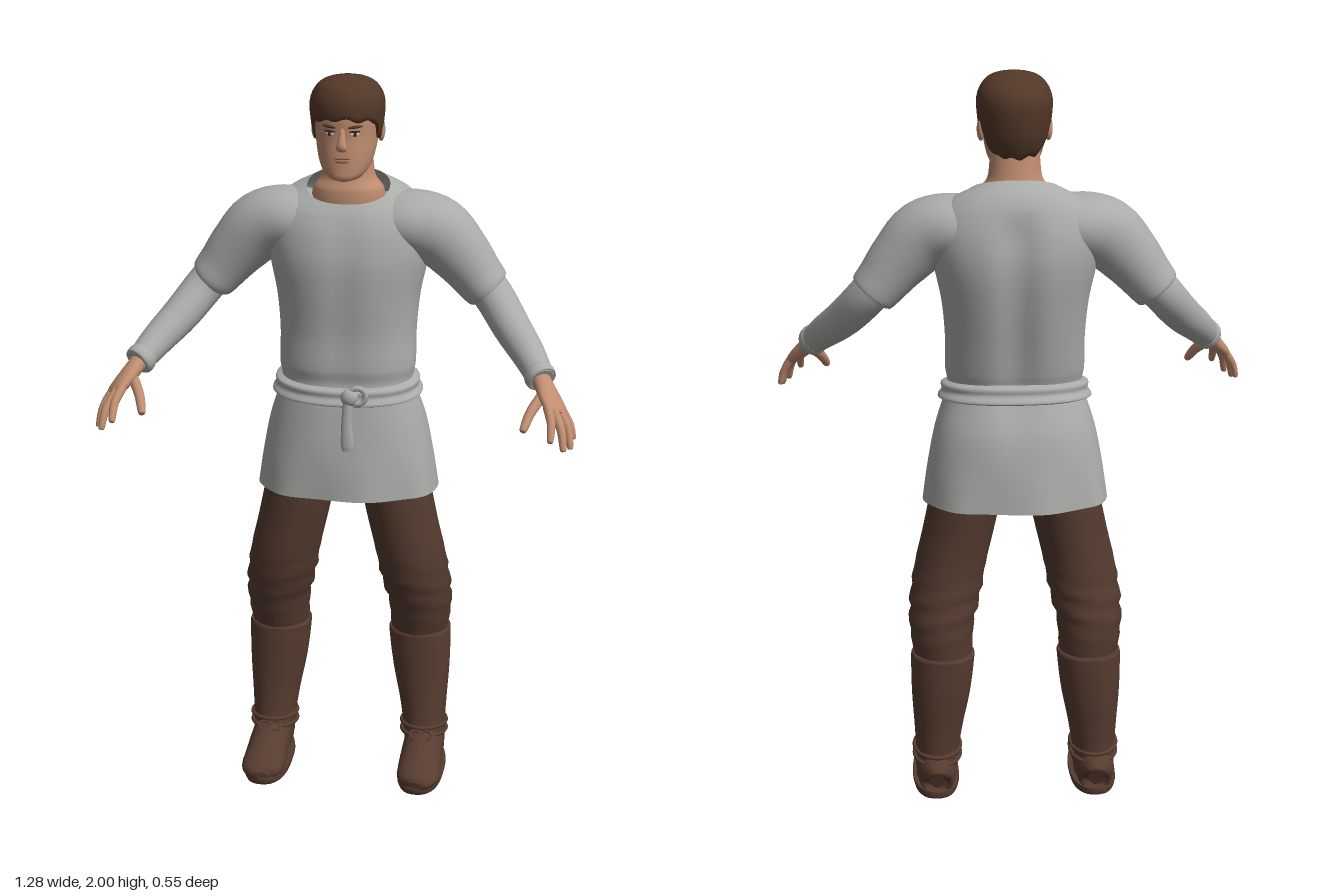
import * as THREE from 'three';

const mat = (name, color, side = THREE.FrontSide) => {
  const m = new THREE.MeshStandardMaterial({ color, side });
  m.name = name;
  return m;
};

// Smooth lookup in a table of rows keyed by their first column
function at(rows, k) {
  let i = 0;
  while (i < rows.length - 2 && k > rows[i + 1][0]) i++;
  const p = rows[i], q = rows[i + 1], o = rows[Math.max(i - 1, 0)], r = rows[Math.min(i + 2, rows.length - 1)];
  const d = q[0] - p[0], t = Math.min(Math.max((k - p[0]) / d, 0), 1), t2 = t * t, t3 = t2 * t;
  return p.map((v, c) => {
    const m0 = (q[c] - o[c]) / (q[0] - o[0]) * d, m1 = (r[c] - v) / (r[0] - p[0]) * d;
    return (2 * t3 - 3 * t2 + 1) * v + (t3 - 2 * t2 + t) * m0 + (3 * t2 - 2 * t3) * q[c] + (t3 - t2) * m1;
  });
}

// Skin over closed rings P(i, angle), with optional flat end caps
function surface(P, n, seg, caps = true) {
  const pos = [], idx = [], ring = i => Array.from({ length: seg }, (_, j) => P(i, j / seg * Math.PI * 2));
  for (let i = 0; i <= n; i++) ring(i).forEach(p => pos.push(p.x, p.y, p.z));
  for (let i = 0; i < n; i++) for (let j = 0; j < seg; j++) {
    const a = i * seg + j, b = i * seg + (j + 1) % seg;
    idx.push(a, b, b + seg, a, b + seg, a + seg);
  }
  if (caps) for (const i of [0, n]) {
    const pts = ring(i), c = pts.reduce((s, p) => s.add(p), new THREE.Vector3()).divideScalar(seg);
    const base = pos.length / 3;
    [...pts, c].forEach(p => pos.push(p.x, p.y, p.z));
    for (let j = 0; j < seg; j++) {
      const a = base + j, b = base + (j + 1) % seg;
      i ? idx.push(a, b, base + seg) : idx.push(b, a, base + seg);
    }
  }
  const g = new THREE.BufferGeometry();
  g.setAttribute('position', new THREE.Float32BufferAttribute(pos, 3));
  g.setIndex(idx);
  g.computeVertexNormals();
  return g;
}

const pw = (v, n) => Math.sign(v) * Math.abs(v) ** (2 / n);
const keys = (rows, sub) => {
  const out = [rows[0][0]];
  for (let i = 1; i < rows.length; i++) for (let s = 1; s <= sub; s++)
    out.push(rows[i - 1][0] + (rows[i][0] - rows[i - 1][0]) * s / sub);
  return out;
};

// Point on a level ring; row = [y, centre x, half width, front z, back z, forward tilt]
function ringPoint([y, cx, rx, zf, zb, tilt = 0], a, n = 2) {
  const c = pw(Math.cos(a), n);
  return new THREE.Vector3(cx + pw(Math.sin(a), n) * rx, y - tilt * c, (zf + zb) / 2 + c * (zf - zb) / 2);
}
function column(rows, { n = 2, seg = 40, sub = 4, caps = true, tweak } = {}) {
  const ks = keys(rows, sub);
  return surface((i, a) => {
    const p = ringPoint(at(rows, ks[i]), a, n);
    if (tweak) tweak(p, a);
    return p;
  }, ks.length - 1, seg, caps);
}

// Round limb along a path; row = [x, y, z, side radius, radius toward hint]
function limb(path, { hint = [0, 0, 1], seg = 20, sub = 4, floor = -1 } = {}) {
  const rows = path.map((r, i) => [i, ...r]), ks = keys(rows, sub), h = new THREE.Vector3(...hint);
  const c = k => new THREE.Vector3(...at(rows, k).slice(1, 4));
  return surface((i, a) => {
    const k = ks[i], r = at(rows, k);
    const T = c(Math.min(k + 0.05, path.length - 1)).sub(c(Math.max(k - 0.05, 0))).normalize();
    const N = h.clone().addScaledVector(T, -h.dot(T)).normalize(), S = T.clone().cross(N);
    const p = c(k).addScaledVector(S, Math.sin(a) * r[4]).addScaledVector(N, Math.cos(a) * r[5]);
    p.y = Math.max(p.y, floor);
    return p;
  }, ks.length - 1, seg);
}

const blob = (x, y, z, sx, sy, sz) => new THREE.SphereGeometry(1, 20, 14).scale(sx, sy, sz).translate(x, y, z);
function mirrored(g) {
  const m = g.clone().scale(-1, 1, 1), ix = m.index.array;
  for (let i = 0; i < ix.length; i += 3) [ix[i], ix[i + 1]] = [ix[i + 1], ix[i]];
  return m;
}

export function createModel() {
  const root = new THREE.Group();
  root.name = 'manInTunic';
  const tunic = mat('tunicGrey', 0xa9aca8, THREE.DoubleSide), trousers = mat('trouserBrown', 0x533a2e);
  const boots = mat('bootBrown', 0x573c30), skin = mat('skin', 0xc08d70), hair = mat('hairBrown', 0x533828, THREE.DoubleSide);
  const lips = mat('lips', 0xa56a58), white = mat('eyeWhite', 0xc9beb4), dark = mat('eyeDark', 0x2c1f1a);
  const add = (name, g, m) => {
    const o = new THREE.Mesh(g, m);
    o.name = name;
    root.add(o);
  };
  const pair = (name, g, m) => { add(name + 'Left', g, m); add(name + 'Right', mirrored(g), m); };

  // Tunic body with a spine groove and a slight chest dip
  const body = [
    [0.85, 0, 0.25, 0.065, -0.275, 0], [0.95, 0, 0.235, 0.06, -0.265, 0], [1.05, 0, 0.215, 0.05, -0.25, 0],
    [1.13, 0, 0.19, 0.04, -0.22, 0], [1.17, 0, 0.18, 0.03, -0.205, 0], [1.21, 0, 0.186, 0.036, -0.215, 0],
    [1.3, 0, 0.186, 0.034, -0.235, 0], [1.4, 0, 0.195, 0.04, -0.255, 0], [1.5, 0, 0.215, 0.042, -0.268, 0],
    [1.58, 0, 0.222, 0.027, -0.262, 0], [1.64, 0, 0.205, 0.006, -0.24, 0.012], [1.675, 0, 0.165, -0.01, -0.212, 0.025],
    [1.695, 0, 0.112, -0.018, -0.175, 0.035]];
  add('tunicBody', column(body, {
    n: 2.25, seg: 64, caps: false, tweak: (p, a) => {
      const up = THREE.MathUtils.smoothstep(p.y, 0.95, 1.3) * (1 - THREE.MathUtils.smoothstep(p.y, 1.58, 1.68));
      const groove = Math.exp(-((p.x / 0.045) ** 2)) * up;
      p.z += Math.cos(a) < 0 ? 0.022 * groove : -0.008 * groove;
      if (p.y < 0.97) p.z += 0.006 * Math.sin(a * 7) * (0.97 - p.y) / 0.12;
    }
  }), tunic);

  // Rope belt of two strands, knot and hanging tail
  const belt = [[1.125, 0], [1.132, 0.017], [1.15, 0.012], [1.168, 0.017], [1.176, 0]].map(([y, o]) => {
    const r = at(body, y);
    return [y, 0, r[2] + o, r[3] + o, r[4] - o, 0.012];
  });
  add('belt', column(belt, { n: 2.25, seg: 64, caps: false }), tunic);
  add('beltKnot', blob(0.025, 1.147, 0.058, 0.024, 0.024, 0.018), tunic);
  add('beltLoop', new THREE.TorusGeometry(0.022, 0.008, 10, 24).translate(0.047, 1.152, 0.058), tunic);
  add('beltTail', limb([[0.022, 1.14, 0.06, 0.013, 0.01], [0.018, 1.08, 0.064, 0.014, 0.009],
    [0.021, 1.02, 0.067, 0.018, 0.009], [0.021, 0.998, 0.068, 0.014, 0.007]]), tunic);

  // Short outer sleeves, long inner sleeves and cuffs
  pair('shortSleeve', limb([[0.09, 1.597, -0.115, 0.075, 0.1], [0.17, 1.597, -0.113, 0.088, 0.108],
    [0.24, 1.573, -0.11, 0.094, 0.093], [0.3, 1.515, -0.11, 0.083, 0.08], [0.345, 1.46, -0.11, 0.072, 0.072],
    [0.374, 1.425, -0.108, 0.066, 0.07], [0.38, 1.418, -0.108, 0.058, 0.062]], { seg: 32 }), tunic);
  pair('longSleeve', limb([[0.34, 1.47, -0.11, 0.055, 0.058], [0.395, 1.405, -0.095, 0.054, 0.056],
    [0.45, 1.337, -0.035, 0.051, 0.053], [0.5, 1.285, 0.03, 0.045, 0.046], [0.535, 1.245, 0.088, 0.038, 0.039]], { seg: 28 }), tunic);
  pair('cuff', limb([[0.53, 1.25, 0.08, 0.039, 0.04], [0.535, 1.245, 0.088, 0.042, 0.043],
    [0.542, 1.237, 0.1, 0.041, 0.042], [0.544, 1.235, 0.103, 0.034, 0.035]]), tunic);

  // Hands: palm, four fingers, thumb
  const back = [0.75, 0.54, 0.4];
  pair('palm', limb([[0.535, 1.245, 0.085, 0.028, 0.024], [0.55, 1.225, 0.115, 0.03, 0.023], [0.568, 1.202, 0.145, 0.039, 0.021],
    [0.586, 1.18, 0.175, 0.042, 0.017], [0.593, 1.17, 0.188, 0.036, 0.011]], { hint: back }), skin);
  const fingers = {
    indexFinger: [[0.566, 1.192, 0.195], [0.579, 1.16, 0.236], [0.58, 1.122, 0.266], 0.0115],
    middleFinger: [[0.582, 1.182, 0.19], [0.605, 1.14, 0.228], [0.613, 1.095, 0.25], 0.0115],
    ringFinger: [[0.596, 1.177, 0.172], [0.62, 1.135, 0.195], [0.629, 1.09, 0.213], 0.011],
    littleFinger: [[0.602, 1.173, 0.15], [0.625, 1.135, 0.16], [0.634, 1.1, 0.165], 0.0095],
    thumb: [[0.548, 1.205, 0.145], [0.522, 1.172, 0.19], [0.507, 1.137, 0.23], 0.0135]
  };
  for (const [name, [a, b, c, r]] of Object.entries(fingers)) {
    const tip = c.map((v, i) => v + (c[i] - b[i]) * 0.12);
    pair(name, limb([[...a, r * 1.1, r * 1.1], [...b, r, r], [...c, r * 0.75, r * 0.75], [...tip, 0.002, 0.002]],
      { hint: back, seg: 12 }), skin);
  }

  // Trousers with soft folds about the knee
  pair('trouserLeg', column([[0.38, 0.2, 0.07, -0.065, -0.215], [0.42, 0.2, 0.08, -0.052, -0.225], [0.5, 0.202, 0.088, -0.028, -0.226],
    [0.58, 0.19, 0.096, -0.004, -0.212], [0.66, 0.176, 0.097, 0.007, -0.2], [0.75, 0.155, 0.097, 0.01, -0.198],
    [0.85, 0.133, 0.098, 0.012, -0.202], [0.98, 0.1, 0.102, 0.015, -0.2]], {
    tweak: (p, a) => {
      const f = Math.exp(-(((p.y - 0.55) / 0.08) ** 2)) * 0.005 * Math.sin(p.y * 110 + Math.sin(a) * 2);
      p.x += Math.sin(a) * f;
      p.z += Math.cos(a) * f;
    }
  }), trousers);

  // Boots: shaft, foot, sole and ankle laces
  pair('bootShaft', column([[0.04, 0.22, 0.055, -0.03, -0.195], [0.12, 0.217, 0.059, -0.047, -0.198], [0.2, 0.213, 0.067, -0.054, -0.208],
    [0.3, 0.206, 0.08, -0.054, -0.223], [0.41, 0.2, 0.087, -0.051, -0.232], [0.418, 0.2, 0.084, -0.054, -0.229]], { n: 2.2 }), boots);
  pair('bootFoot', limb([[0.22, 0.055, -0.203, 0.02, 0.03], [0.22, 0.06, -0.19, 0.048, 0.06], [0.22, 0.065, -0.12, 0.056, 0.068],
    [0.22, 0.06, -0.04, 0.057, 0.065], [0.221, 0.045, 0.02, 0.06, 0.048], [0.222, 0.036, 0.07, 0.059, 0.033],
    [0.22, 0.03, 0.1, 0.042, 0.023], [0.218, 0.028, 0.112, 0.016, 0.012]], { hint: [0, 1, 0], seg: 32, floor: 0.012 }), boots);
  pair('bootSole', column([[0, 0.22, 0.062, 0.108, -0.202], [0.01, 0.22, 0.065, 0.115, -0.206], [0.02, 0.22, 0.064, 0.114, -0.205]],
    { n: 2.5, sub: 1 }), boots);
  for (const y of [0.105, 0.13]) {
    const loop = Array.from({ length: 12 }, (_, j) => ringPoint([y, 0.217, 0.063, -0.035, -0.203, -0.008], j / 6 * Math.PI));
    pair('bootLace', new THREE.TubeGeometry(new THREE.CatmullRomCurve3(loop, true), 48, 0.006, 8, true), boots);
  }
  for (const s of [-1, 1]) pair('laceBow', new THREE.TorusGeometry(0.014, 0.004, 8, 16).rotateX(-0.9)
    .translate(0.217 + s * 0.016, 0.122, -0.024), boots);

  // Neck and head
  add('neck', column([[1.62, 0, 0.1, -0.03, -0.17], [1.69, 0, 0.096, -0.028, -0.17], [1.72, 0, 0.074, -0.038, -0.165],
    [1.76, 0, 0.067, -0.042, -0.158], [1.82, 0, 0.065, -0.05, -0.15]]), skin);
  const head = [[1.728, 0, 0.02, 0.01, -0.045], [1.736, 0, 0.042, 0.026, -0.075], [1.76, 0, 0.064, 0.028, -0.115],
    [1.8, 0, 0.077, 0.027, -0.15], [1.85, 0, 0.084, 0.024, -0.172], [1.9, 0, 0.087, 0.027, -0.178],
    [1.95, 0, 0.08, 0.015, -0.17], [1.98, 0, 0.05, -0.02, -0.13]];
  add('head', column(head, { n: 2.15 }), skin);
  add('nose', limb([[0, 1.872, 0.02, 0.008, 0.006], [0, 1.85, 0.026, 0.009, 0.009], [0, 1.83, 0.031, 0.013, 0.012],
    [0, 1.82, 0.03, 0.015, 0.01], [0, 1.814, 0.026, 0.009, 0.005]]), skin);
  pair('ear', blob(0.088, 1.85, -0.092, 0.011, 0.031, 0.018), skin);

  // Eyes, brows and lips lie on the face surface
  const faceZ = (x, y) => {
    const [, , rx, zf, zb] = at(head, y);
    return (zf + zb) / 2 + (zf - zb) / 2 * (1 - (Math.abs(x) / rx) ** 2.15) ** (1 / 2.15);
  };
  const onFace = (x, y, w, h, d, tilt = 0) => new THREE.SphereGeometry(1, 16, 10).scale(w, h, d)
    .rotateZ(tilt).rotateY(x * 12).translate(x, y, faceZ(x, y));
  pair('eye', onFace(0.033, 1.857, 0.013, 0.006, 0.003), white);
  pair('iris', onFace(0.033, 1.857, 0.006, 0.006, 0.0042), dark);
  pair('upperLid', onFace(0.033, 1.864, 0.016, 0.0025, 0.004), dark);
  pair('eyebrow', onFace(0.035, 1.877, 0.021, 0.004, 0.0045, 0.08), hair);
  add('upperLip', onFace(0, 1.794, 0.024, 0.004, 0.004), lips);
  add('lowerLip', onFace(0, 1.786, 0.02, 0.005, 0.0045), lips);

  // Hair shell with fringe, sideburns and nape line
  const shell = [[1.77, 0, 0.066, 0, -0.158], [1.83, 0, 0.089, 0.018, -0.185], [1.88, 0, 0.097, 0.037, -0.195],
    [1.93, 0, 0.099, 0.042, -0.197], [1.965, 0, 0.085, 0.03, -0.178], [1.987, 0, 0.058, 0.004, -0.14], [2, 0, 0.004, -0.068, -0.076]];
  const line = [[0, 1.898], [0.5, 1.892], [0.95, 1.888], [1.15, 1.875], [1.25, 1.832], [1.48, 1.832], [1.58, 1.872],
    [1.9, 1.872], [2.1, 1.81], [2.35, 1.79], [Math.PI, 1.782]];
  add('hair', surface((i, a) => {
    const m = Math.min(a, 2 * Math.PI - a);
    const j = Math.max(1, line.findIndex(l => l[0] >= m - 1e-6)), [p, q] = [line[j - 1], line[j]];
    const yb = p[1] + (q[1] - p[1]) * (m - p[0]) / (q[0] - p[0]) + 0.004 * Math.sin(a * 11);
    const t = Math.max(i - 1, 0) / 17, r = at(shell, yb + (2 - yb) * (1 - (1 - t) ** 2));
    const v = ringPoint(r, a, 2.1);
    if (i === 0) { v.x *= 0.84; v.z = -0.075 + (v.z + 0.075) * 0.84; }
    return v;
  }, 18, 96, false), hair);

  return root;
}
